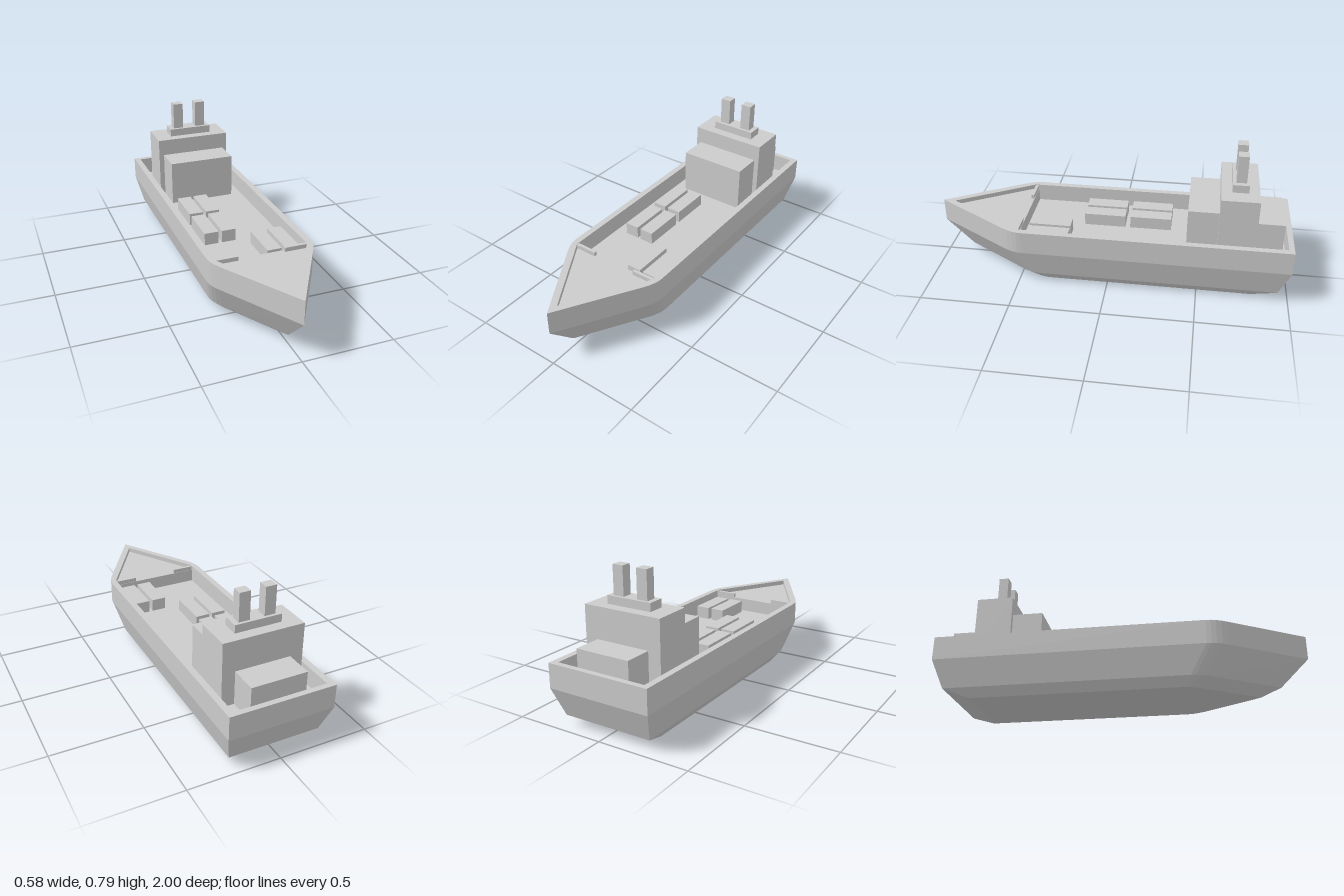
import * as THREE from 'three';

const material = new THREE.MeshStandardMaterial({ color: 0xcccccc, flatShading: true });

// Hull outline in [x, z]: square stern, rounded shoulders, pointed bow
function outline(halfWidth, stern, shoulder, bow) {
  const t = 0.08 / (bow - shoulder);
  const curve = new THREE.QuadraticBezierCurve(
    new THREE.Vector2(halfWidth, shoulder - 0.05),
    new THREE.Vector2(halfWidth, shoulder),
    new THREE.Vector2(halfWidth * (1 - t), shoulder + 0.08 * 0.75)
  );
  curve.v2.set(halfWidth * (1 - t * 0.75), shoulder + 0.06);
  const side = [[halfWidth, stern], ...curve.getPoints(4).map(p => [p.x, p.y])];
  return [...side, [0, bow], ...side.map(([x, z]) => [-x, z]).reverse()];
}

// Closed wall through a list of { ring, y } sections; rising sections face outward
function wall(sections) {
  const pos = [];
  for (let s = 0; s < sections.length - 1; s++) {
    const a = sections[s], b = sections[s + 1], n = a.ring.length;
    for (let i = 0; i < n; i++) {
      const j = (i + 1) % n;
      const at = (sec, k) => [sec.ring[k][0], sec.y, sec.ring[k][1]];
      pos.push(...at(a, i), ...at(b, i), ...at(a, j), ...at(a, j), ...at(b, i), ...at(b, j));
    }
  }
  const geo = new THREE.BufferGeometry();
  geo.setAttribute('position', new THREE.Float32BufferAttribute(pos, 3));
  geo.computeVertexNormals();
  return geo;
}

// Flat horizontal plate, facing up or down
function plate(ring, y, { hole = null, down = false } = {}) {
  const sign = down ? 1 : -1;
  const points = r => r.map(([x, z]) => new THREE.Vector2(x, sign * z));
  const shape = new THREE.Shape(points(ring));
  if (hole) shape.holes.push(new THREE.Path(points(hole)));
  return new THREE.ShapeGeometry(shape).rotateX(sign * Math.PI / 2).translate(0, y, 0);
}

export function createModel() {
  const model = new THREE.Group();
  const add = (name, geo, parent = model) => {
    const mesh = new THREE.Mesh(geo, material);
    mesh.name = name;
    parent.add(mesh);
    return mesh;
  };
  // Box from its minimum and maximum on each axis
  const box = (name, [x0, x1], [y0, y1], [z0, z1], parent) =>
    add(name, new THREE.BoxGeometry(x1 - x0, y1 - y0, z1 - z0)
      .translate((x0 + x1) / 2, (y0 + y1) / 2, (z0 + z1) / 2), parent);
  const group = name => {
    const g = new THREE.Group();
    g.name = name;
    model.add(g);
    return g;
  };

  const rimY = 0.336, foreY = 0.31, deckY = 0.235;

  // Outer hull
  const hull = group('hull');
  const sections = [
    { y: 0, ring: outline(0.216, -0.8, 0.38, 0.735) },
    { y: 0.05, ring: outline(0.252, -0.94, 0.43, 0.845) },
    { y: 0.205, ring: outline(0.29, -1, 0.52, 1) },
    { y: rimY, ring: outline(0.29, -1, 0.52, 1) },
  ];
  add('hullSides', wall(sections), hull);
  add('hullBottom', plate(sections[0].ring, 0, { down: true }), hull);

  // Rim and inner bulwark, cargo well and raised foredeck
  const well = [[0.255, -0.97], [0.255, 0.488], [-0.255, 0.488], [-0.255, -0.97]];
  const opening = [[0.255, -0.97], [0.255, 0.505], [0, 0.93], [-0.255, 0.505], [-0.255, -0.97]];
  const fore = [[0.255, 0.488], [0.255, 0.505], [0, 0.93], [-0.255, 0.505], [-0.255, 0.488]];
  add('rim', plate(sections[3].ring, rimY, { hole: opening }), hull);
  add('bulwark', wall([{ ring: opening, y: rimY }, { ring: opening, y: foreY }]), hull);
  add('wellWalls', wall([{ ring: well, y: foreY }, { ring: well, y: deckY }]), hull);
  add('mainDeck', plate(well, deckY), hull);
  add('foredeck', plate(fore, foreY), hull);
  for (const s of [1, -1]) {
    const x = [0.13 * s, 0.255 * s].sort((a, b) => a - b);
    box('foredeckLip', x, [foreY, rimY - 0.003], [0.49, 0.508], hull);
  }

  // Deckhouse
  const house = group('deckhouse');
  box('frontCabin', [-0.193, 0.193], [deckY, 0.492], [-0.6, -0.43], house);
  box('mainCabin', [-0.222, 0.222], [deckY, 0.588], [-0.8, -0.597], house);
  box('aftCabin', [-0.152, 0.152], [deckY, 0.42], [-0.95, -0.8], house);
  box('funnelBase', [-0.128, 0.128], [0.588, 0.632], [-0.742, -0.654], house);
  for (const x of [-0.07, 0.07])
    box('funnel', [x - 0.03, x + 0.03], [0.632, 0.786], [-0.727, -0.672], house);

  // Cargo boxes, stowed in pairs
  const cargo = group('cargo');
  for (const [x, z] of [[-0.1, -0.218], [-0.1, 0.045], [0.145, 0.338]])
    for (const s of [-1, 1])
      box('container', [x + s * 0.05 - 0.04, x + s * 0.05 + 0.04],
        [deckY, 0.305], [z - 0.117, z + 0.117], cargo);

  return model;
}
